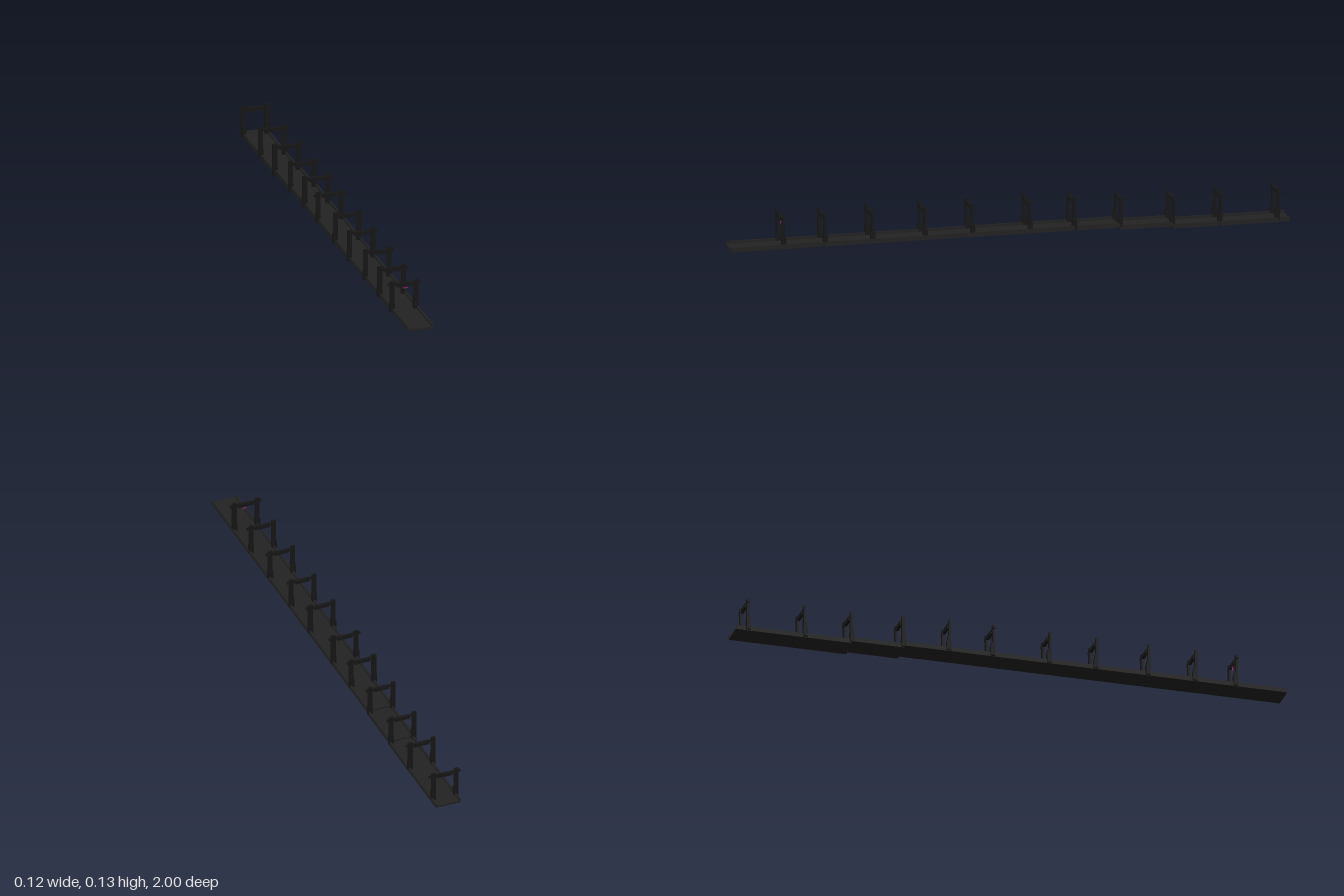
import * as THREE from 'three';

const trayMat = new THREE.MeshStandardMaterial({ color: 0x222222 });
trayMat.name = 'charcoal';
const frameMat = new THREE.MeshStandardMaterial({ color: 0x171717 });
frameMat.name = 'nearBlack';
const pinkMat = new THREE.MeshStandardMaterial({ color: 0xa0287a });
pinkMat.name = 'magenta';

// Box given by its lower and upper limits on each axis
function box(parent, name, mat, [x0, x1], [y0, y1], [z0, z1]) {
  const m = new THREE.Mesh(new THREE.BoxGeometry(x1 - x0, y1 - y0, z1 - z0), mat);
  m.position.set((x0 + x1) / 2, (y0 + y1) / 2, (z0 + z1) / 2);
  m.name = name;
  parent.add(m);
  return m;
}

// Shallow channel: floor with a raised rim on each side
function makeTray(y, z0, z1) {
  const g = new THREE.Group();
  g.name = 'traySection';
  const shape = new THREE.Shape([
    [-0.044, 0], [0.05, 0], [0.05, 0.016], [0.044, 0.016],
    [0.044, 0.007], [-0.038, 0.007], [-0.038, 0.016], [-0.044, 0.016],
  ].map(([x, h]) => new THREE.Vector2(x, h)));
  const geo = new THREE.ExtrudeGeometry(shape, { depth: z1 - z0, bevelEnabled: false });
  const m = new THREE.Mesh(geo, trayMat);
  m.name = 'trayChannel';
  m.position.set(0, y, z0);
  g.add(m);
  return g;
}

// Gate: two posts with thicker feet, a thin rod and a thick central bar
function makeGate(flip, longRod) {
  const g = new THREE.Group();
  g.name = 'gate';
  const foot = flip ? [-0.005, 0.011] : [-0.011, 0.005];
  for (const [a, b] of [[-0.052, -0.036], [0.034, 0.05]]) {
    box(g, 'post', frameMat, [a, b], [0.002, 0.117], [-0.004, 0.004]);
    box(g, 'postFoot', frameMat, [a, b], [0.002, 0.038], foot);
    box(g, 'postFootStep', frameMat, [a + 0.001, b - 0.001], [0.038, 0.052], foot.map((v) => v * 0.7));
  }
  box(g, 'rod', frameMat, [longRod ? -0.06 : -0.052, 0.058], [0.101, 0.109], [-0.0035, 0.0035]);
  box(g, 'centralBar', frameMat, [-0.028, 0.028], [0.095, 0.109], [-0.005, 0.005]);
  return g;
}

export function createModel() {
  const model = new THREE.Group();
  model.name = 'steppedTrayWithGates';

  // Tray sections stepping down toward the back
  model.add(makeTray(0.016, -0.39, 1), makeTray(0.008, -0.58, -0.39), makeTray(0, -1, -0.58));

  // Row of gates, standing on the section below each
  const zs = [0.815, 0.667, 0.497, 0.308, 0.138, -0.067, -0.226, -0.396, -0.583, -0.753, -0.959];
  zs.forEach((z, i) => {
    const gate = makeGate(i > 6, i % 5 === 0);
    gate.position.set(0, i < 7 ? 0.016 : i === 7 ? 0.008 : 0.001, z);
    model.add(gate);
  });

  // Small hanging marker under the front bar
  const marker = new THREE.Group();
  marker.name = 'hangingMarker';
  box(marker, 'markerTop', pinkMat, [-0.012, 0.012], [0.109, 0.111], [-0.001, 0.001]);
  box(marker, 'markerStem', pinkMat, [0.003, 0.005], [0.097, 0.111], [-0.001, 0.001]);
  box(marker, 'markerArm', pinkMat, [-0.004, 0.012], [0.103, 0.105], [-0.001, 0.001]);
  marker.position.z = 0.815;
  model.add(marker);
  return model;
}
